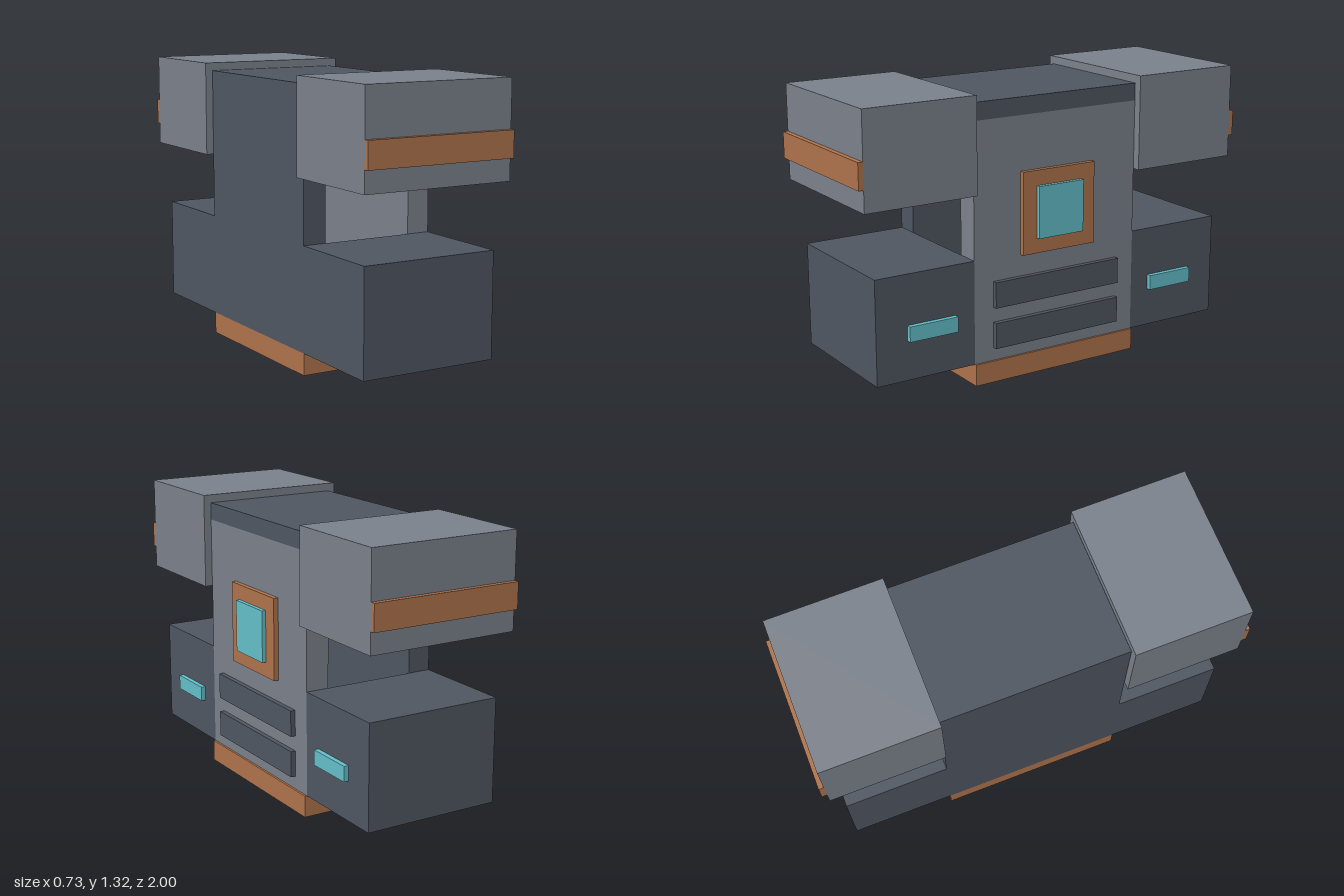
import * as THREE from 'three';

const material = (name, color) => {
  const m = new THREE.MeshStandardMaterial({ color });
  m.name = name;
  return m;
};

export function createModel() {
  const group = new THREE.Group();
  const lightGrey = material('light grey', 0x7c828c);
  const darkGrey = material('dark grey', 0x505762);
  const copper = material('copper', 0xb0744c);
  const cyan = material('cyan', 0x66c0cb);

  // Box given by its [min, max] extent on each axis
  const box = (name, mat, [x0, x1], [y0, y1], [z0, z1]) => {
    const mesh = new THREE.Mesh(new THREE.BoxGeometry(x1 - x0, y1 - y0, z1 - z0), mat);
    mesh.position.set((x0 + x1) / 2, (y0 + y1) / 2, (z0 + z1) / 2);
    mesh.name = name;
    group.add(mesh);
  };

  // Hollow body: base, two walls and a roof
  const depth = [-0.433, 0.433];
  box('base', copper, [-0.33, 0.33], [0, 0.1], depth);
  box('backWall', darkGrey, [-0.33, -0.22], [0.1, 1.2], depth);
  box('facePanel', lightGrey, [0.21, 0.32], [0.1, 1.2], depth);
  box('roof', darkGrey, [-0.33, 0.32], [1.2, 1.28], depth);

  // Framed screen and vents on the face panel
  box('screenFrame', copper, [0.32, 0.343], [0.57, 0.95], [-0.192, 0.192]);
  box('screen', cyan, [0.343, 0.362], [0.64, 0.88], [-0.12, 0.12]);
  for (const y of [0.16, 0.35]) {
    box('vent', darkGrey, [0.32, 0.343], [y, y + 0.12], [-0.335, 0.335]);
  }

  // Side blocks and shoulders, mirrored front to back
  for (const s of [-1, 1]) {
    const span = (a, b) => (s > 0 ? [a, b] : [-b, -a]);
    box('sideBlock', darkGrey, [-0.33, 0.32], [0.1, 0.58], span(0.433, 0.922));
    box('sideLight', cyan, [0.32, 0.343], [0.28, 0.35], span(0.53, 0.77));
    box('shoulder', lightGrey, [-0.365, 0.355], [0.88, 1.317], span(0.435, 0.977));
    box('shoulderBand', copper, [-0.365, 0.355], [0.98, 1.1], span(0.977, 1));
  }
  return group;
}
